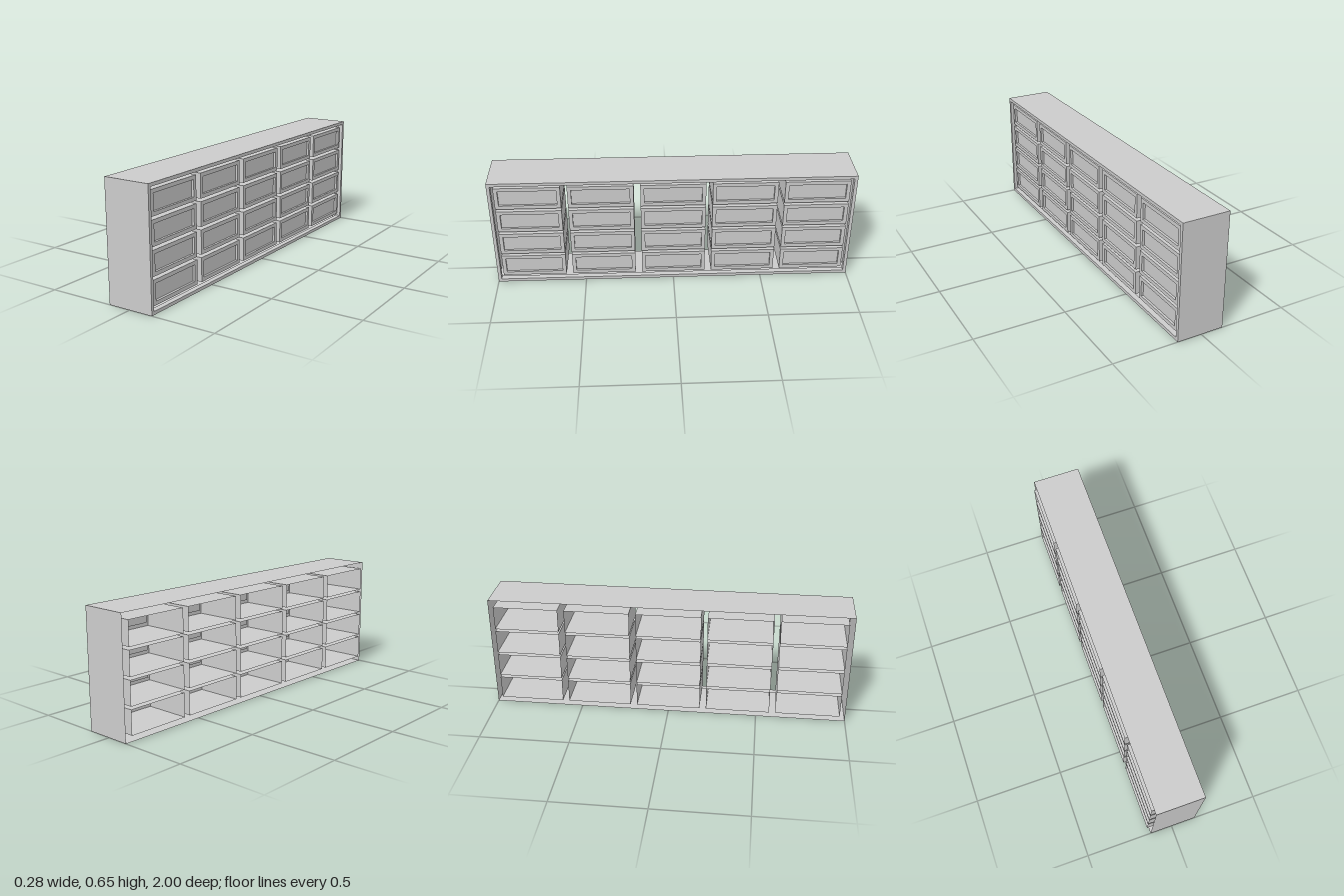
import * as THREE from 'three';

// Thin shell along +x from rectangular loops [x, halfWidthZ, halfHeightY]; the last loop may be capped
function loopShell(loops, capped) {
  const rings = loops.map(([x, w, h]) => [
    [x, -h, w], [x, -h, -w], [x, h, -w], [x, h, w],
  ]);
  const positions = [];
  const quad = (a, b, c, d) => positions.push(...a, ...b, ...c, ...a, ...c, ...d);
  for (let i = 0; i < rings.length - 1; i++) {
    for (let j = 0; j < 4; j++) {
      const k = (j + 1) % 4;
      quad(rings[i][j], rings[i][k], rings[i + 1][k], rings[i + 1][j]);
    }
  }
  if (capped) quad(...rings[rings.length - 1]);
  const geometry = new THREE.BufferGeometry();
  geometry.setAttribute('position', new THREE.Float32BufferAttribute(positions, 3));
  geometry.computeVertexNormals();
  return geometry;
}

// Open-backed box with an inset rim at its +x end
function rimmedBox(xBack, xFront, w, h, rim, lipDepth, capped) {
  return loopShell([
    [xBack, w, h],
    [xFront, w, h],
    [xFront, w - rim, h - rim],
    [xFront - lipDepth, w - rim, h - rim],
  ], capped);
}

export function createModel() {
  const model = new THREE.Group();
  model.name = 'drawerCabinet';

  const grey = new THREE.MeshStandardMaterial({ color: 0xcccccc, side: THREE.DoubleSide, flatShading: true });
  grey.name = 'plain grey';

  // Outer cabinet, open on both long sides
  const height = 0.648;
  const cabinet = new THREE.Mesh(rimmedBox(-0.126, 0.138, 1, height / 2, 0.018, 0.03, false), grey);
  cabinet.name = 'cabinetShell';
  cabinet.position.y = height / 2;
  model.add(cabinet);

  // Drawers: five columns of four, with sunken front panels and open backs
  const drawers = new THREE.Group();
  drawers.name = 'drawers';
  const drawerGeometry = rimmedBox(-0.138, 0.125, 0.179, 0.066, 0.021, 0.013, true);
  for (let row = 0; row < 4; row++) {
    for (let column = 0; column < 5; column++) {
      const drawer = new THREE.Mesh(drawerGeometry, grey);
      drawer.name = `drawerRow${row + 1}Column${column + 1}`;
      drawer.position.set(0, height / 2 + (row - 1.5) * 0.148, (column - 2) * 0.395);
      drawers.add(drawer);
    }
  }
  model.add(drawers);
  return model;
}
